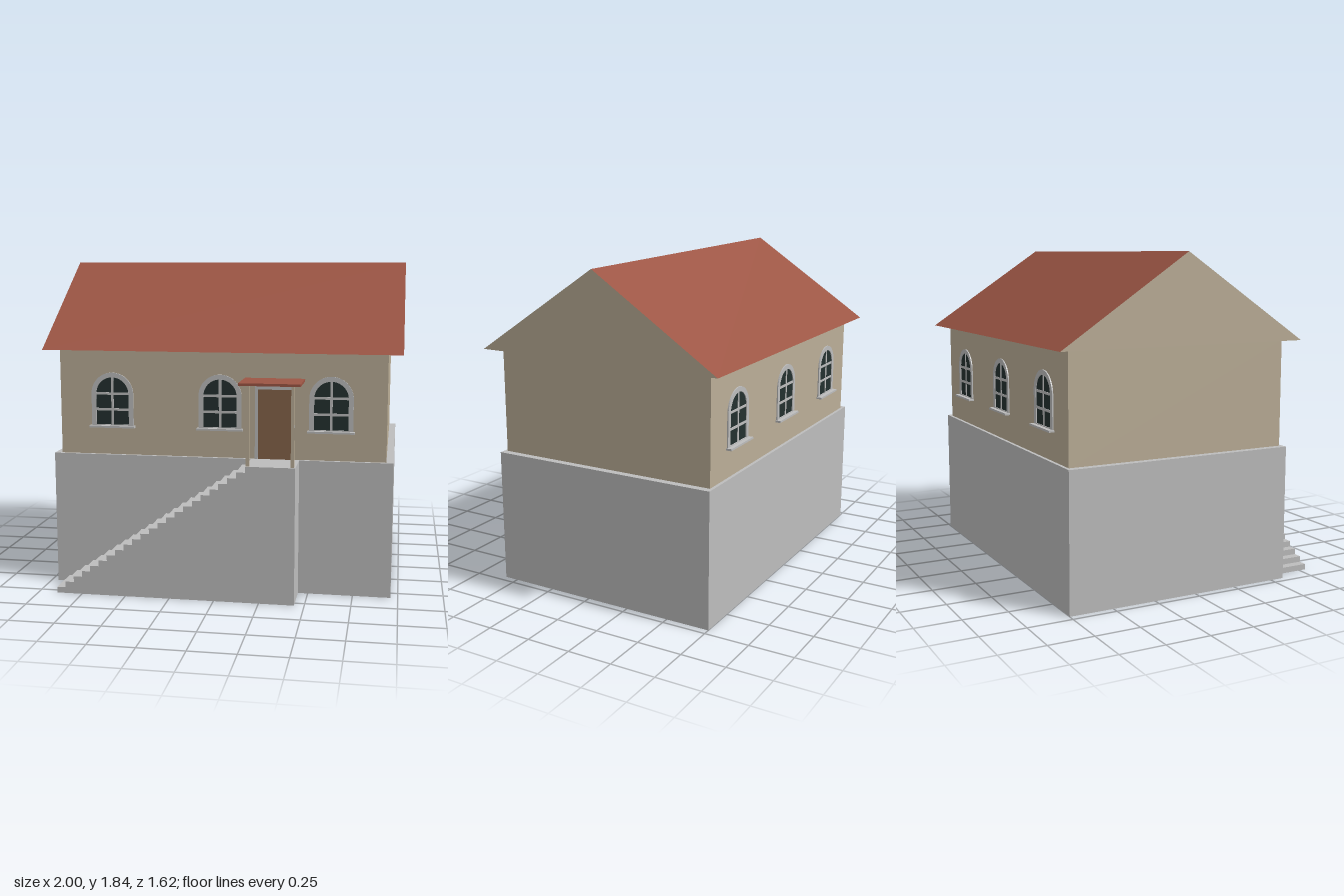
import * as THREE from 'three';

const mat = (name, color, side = THREE.FrontSide) => {
  const m = new THREE.MeshStandardMaterial({ color, side });
  m.name = name;
  return m;
};

export function createModel() {
  const house = new THREE.Group();
  house.name = 'house';

  const concrete = mat('concrete grey', 0xbdbdbd, THREE.DoubleSide);
  const plaster = mat('plaster beige', 0xbbae97);
  const tile = mat('roof red', 0x9c5544);
  const wood = mat('door brown', 0x86644a);
  const glass = mat('window glass', 0x23302f);

  const add = (parent, name, geometry, material) => {
    const mesh = new THREE.Mesh(geometry, material);
    mesh.name = name;
    parent.add(mesh);
    return mesh;
  };
  // Box given by its minimum and maximum corners
  const box = (parent, name, material, x0, x1, y0, y1, z0, z1) => {
    const g = new THREE.BoxGeometry(x1 - x0, y1 - y0, z1 - z0);
    g.translate((x0 + x1) / 2, (y0 + y1) / 2, (z0 + z1) / 2);
    return add(parent, name, g, material);
  };

  const FLOOR = 0.76, EAVE = 1.355, RIDGE = 1.835;
  const FRONT = 0.562, BACK = -0.732;

  // Hollow foundation with the landing bump, open underneath
  const outline = [
    [-0.96, 0.58], [0.175, 0.58], [0.175, 0.79], [0.445, 0.79],
    [0.445, 0.58], [0.96, 0.58], [0.96, -0.75], [-0.96, -0.75],
  ];
  const positions = [];
  outline.forEach(([ax, az], i) => {
    const [bx, bz] = outline[(i + 1) % outline.length];
    positions.push(ax, 0, az, bx, 0, bz, bx, FLOOR, bz);
    positions.push(ax, 0, az, bx, FLOOR, bz, ax, FLOOR, az);
  });
  const sides = new THREE.BufferGeometry();
  sides.setAttribute('position', new THREE.Float32BufferAttribute(positions, 3));
  sides.computeVertexNormals();
  add(house, 'foundationWalls', sides, concrete);
  const deck = new THREE.ShapeGeometry(
    new THREE.Shape(outline.map(([x, z]) => new THREE.Vector2(x, -z))));
  deck.rotateX(-Math.PI / 2).translate(0, FLOOR, 0);
  add(house, 'foundationTop', deck, concrete);

  // Stairs rising along the front to the landing
  const RISERS = 23, START = -0.893, END = 0.175;
  const run = (END - START) / (RISERS - 1), rise = FLOOR / RISERS;
  const stair = new THREE.Shape();
  stair.moveTo(START, 0);
  for (let i = 0; i < RISERS - 1; i++) {
    stair.lineTo(START + i * run, (i + 1) * rise);
    stair.lineTo(START + (i + 1) * run, (i + 1) * rise);
  }
  stair.lineTo(END, 0);
  const stairs = new THREE.ExtrudeGeometry(stair, { depth: 0.22, bevelEnabled: false });
  stairs.translate(0, 0, 0.57);
  add(house, 'stairs', stairs, concrete);

  // Walls
  box(house, 'walls', plaster, -0.92, 0.92, FLOOR, EAVE, BACK, FRONT);

  // Roof prism: plaster gables, tiled slopes and soffit
  const gable = new THREE.Shape([
    new THREE.Vector2(-0.632, EAVE),
    new THREE.Vector2(0.81, EAVE),
    new THREE.Vector2(0.089, RIDGE),
  ]);
  const roof = new THREE.ExtrudeGeometry(gable, { depth: 2, bevelEnabled: false });
  roof.translate(0, 0, -1).rotateY(Math.PI / 2);
  add(house, 'roof', roof, [plaster, tile]);

  // Arched window; its plane is z = 0 and its sill top is y = 0
  const arch = (r, spring) => {
    const s = new THREE.Shape();
    s.moveTo(-r, 0);
    s.lineTo(r, 0);
    s.lineTo(r, spring);
    s.absarc(0, spring, r, 0, Math.PI, false);
    s.lineTo(-r, 0);
    return s;
  };
  const SPRING = 0.18, OUTER = 0.121, INNER = 0.094;
  const frameShape = arch(OUTER, SPRING);
  const opening = new THREE.Path();
  opening.moveTo(-INNER, 0.006);
  opening.lineTo(INNER, 0.006);
  opening.lineTo(INNER, SPRING);
  opening.absarc(0, SPRING, INNER, 0, Math.PI, false);
  opening.lineTo(-INNER, 0.006);
  frameShape.holes.push(opening);
  const frameGeometry = new THREE.ExtrudeGeometry(frameShape,
    { depth: 0.007, bevelEnabled: false, curveSegments: 16 });
  const glassGeometry = new THREE.ShapeGeometry(arch(INNER + 0.004, SPRING), 16);
  glassGeometry.translate(0, 0, 0.002);

  const makeWindow = (name, x, z, turn) => {
    const w = new THREE.Group();
    w.name = name;
    add(w, 'windowFrame', frameGeometry, concrete);
    add(w, 'windowGlass', glassGeometry, glass);
    box(w, 'verticalBar', concrete, -0.007, 0.007, 0, SPRING + INNER, 0.001, 0.005);
    for (const y of [0.092, 0.182]) {
      box(w, 'crossBar', concrete, -INNER, INNER, y - 0.007, y + 0.007, 0.001, 0.005);
    }
    box(w, 'windowSill', concrete, -0.13, 0.13, -0.01, 0.001, 0, 0.031);
    w.position.set(x, 0.925, z);
    w.rotation.y = turn;
    house.add(w);
  };
  for (const x of [-0.617, 0, 0.617]) {
    makeWindow('frontWindow', x, FRONT, 0);
    makeWindow('backWindow', x, BACK, Math.PI);
  }

  // Door with its surround
  const dz = FRONT;
  box(house, 'doorPanel', wood, 0.214, 0.4, FLOOR, 1.15, dz, dz + 0.008);
  box(house, 'doorLintel', concrete, 0.197, 0.417, 1.15, 1.168, dz, dz + 0.015);
  for (const x of [0.197, 0.4]) {
    box(house, 'doorJamb', concrete, x, x + 0.017, FLOOR, 1.15, dz, dz + 0.015);
  }

  // Porch canopy on two posts
  box(house, 'porchCanopy', tile, 0.14, 0.472, 1.198, 1.212, FRONT, 0.81);
  for (const x of [0.178, 0.42]) {
    box(house, 'porchPost', plaster, x, x + 0.018, FLOOR, 1.198, 0.766, 0.784);
  }

  return house;
}
